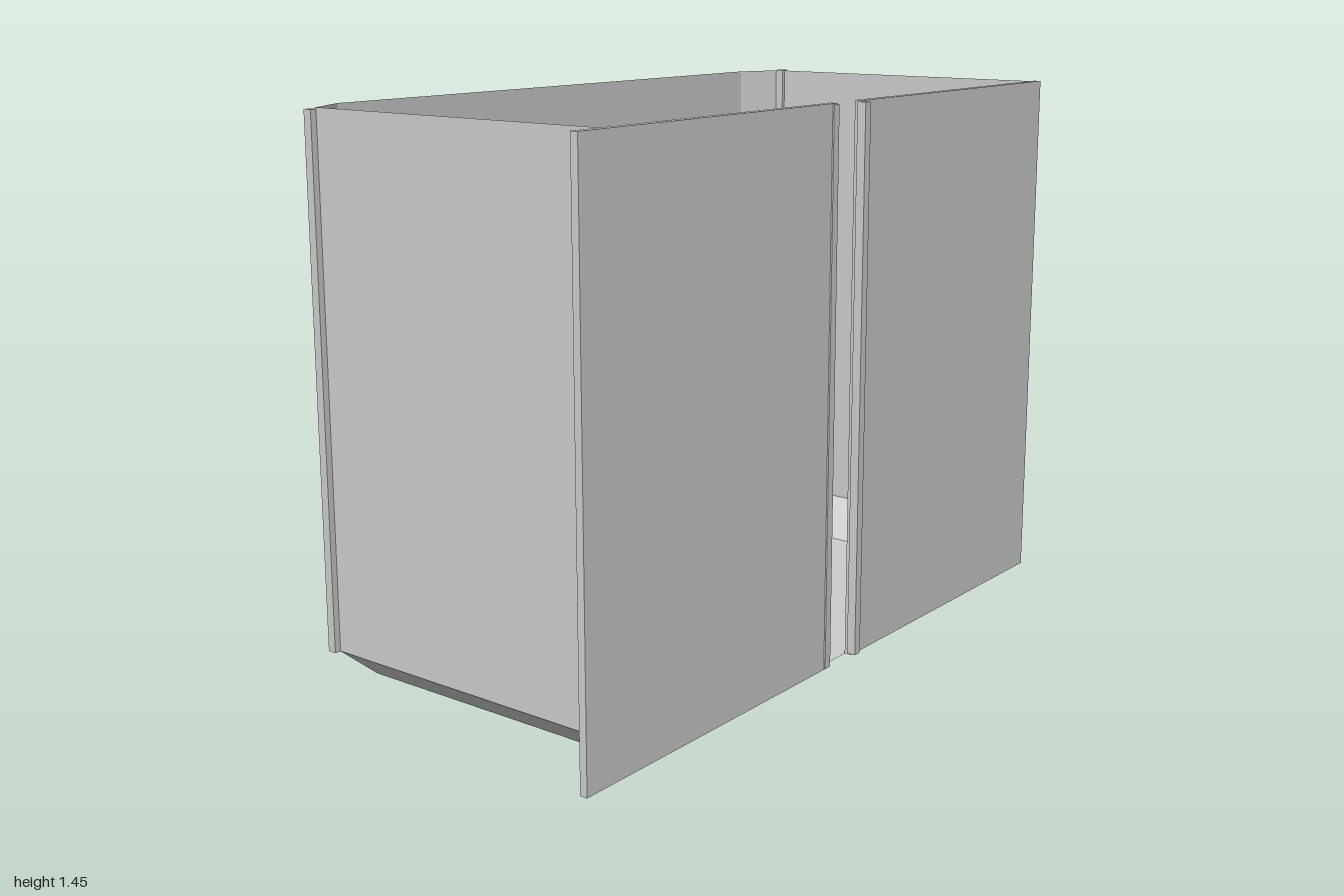
import * as THREE from 'three';

const HEIGHT = 1.445, SLOPE = 0.097;

// Flat-shaded thin sheet from a list of polygons, each an array of [x, y, z] corners
function sheet(name, polygons) {
  const pos = [];
  for (const p of polygons)
    for (let i = 1; i < p.length - 1; i++) pos.push(...p[0], ...p[i], ...p[i + 1]);
  const geo = new THREE.BufferGeometry();
  geo.setAttribute('position', new THREE.Float32BufferAttribute(pos, 3));
  geo.computeVertexNormals();
  const mesh = new THREE.Mesh(geo, new THREE.MeshStandardMaterial({
    color: 0xcccccc, flatShading: true, side: THREE.DoubleSide,
  }));
  mesh.name = name;
  return mesh;
}

// Box given by its limits on each axis
function block(name, x0, x1, y0, y1, z0, z1) {
  const mesh = new THREE.Mesh(
    new THREE.BoxGeometry(x1 - x0, y1 - y0, z1 - z0),
    new THREE.MeshStandardMaterial({ color: 0xcccccc, flatShading: true }),
  );
  mesh.position.set((x0 + x1) / 2, (y0 + y1) / 2, (z0 + z1) / 2);
  mesh.name = name;
  return mesh;
}

export function createModel() {
  const model = new THREE.Group();
  model.name = 'openContainer';

  // Plan of the walls, front to back around the closed side, and the floor point below each
  const wall = [[0.448, 0.908], [-0.426, 0.908], [-0.485, 0.79], [-0.485, -0.853], [-0.426, -0.975], [0.448, -0.975]];
  const foot = [[0.448, 0.79], [-0.426, 0.79], [-0.426, 0.79], [-0.426, -0.853], [-0.426, -0.853], [0.448, -0.853]];
  const at = ([x, z], y) => [x, y, z];
  const names = ['front', 'frontCorner', 'side', 'backCorner', 'back'];

  // Upright walls and the slopes that join them to the floor
  names.forEach((name, i) => {
    const j = i + 1;
    model.add(sheet(name + 'Wall', [
      [at(wall[i], HEIGHT), at(wall[j], HEIGHT), at(wall[j], SLOPE), at(wall[i], SLOPE)],
    ]));
    const slope = [at(wall[i], SLOPE), at(wall[j], SLOPE), at(foot[j], 0)];
    if (!name.endsWith('Corner')) slope.push(at(foot[i], 0));
    model.add(sheet(name + 'Slope', [slope]));
  });

  // Floor
  model.add(sheet('floor', [[foot[0], foot[1], foot[3], foot[5]].map((p) => at(p, 0))]));

  // Two door panels with a narrow gap between them
  model.add(block('backDoor', 0.447, 0.467, 0, HEIGHT, -1, -0.055));
  model.add(block('frontDoor', 0.447, 0.467, 0, HEIGHT, 0.053, 1));

  // Square posts on the door edges and the outer corners
  model.add(block('backDoorPost', 0.458, 0.482, 0.005, HEIGHT - 0.003, -0.073, -0.049));
  model.add(block('frontDoorPost', 0.447, 0.471, 0.003, HEIGHT - 0.003, 0.051, 0.074));
  model.add(block('frontCornerPost', -0.449, -0.425, SLOPE, HEIGHT - 0.004, 0.901, 0.925));
  model.add(block('backCornerPost', -0.43, -0.406, SLOPE, HEIGHT + 0.002, -0.988, -0.964));

  return model;
}
